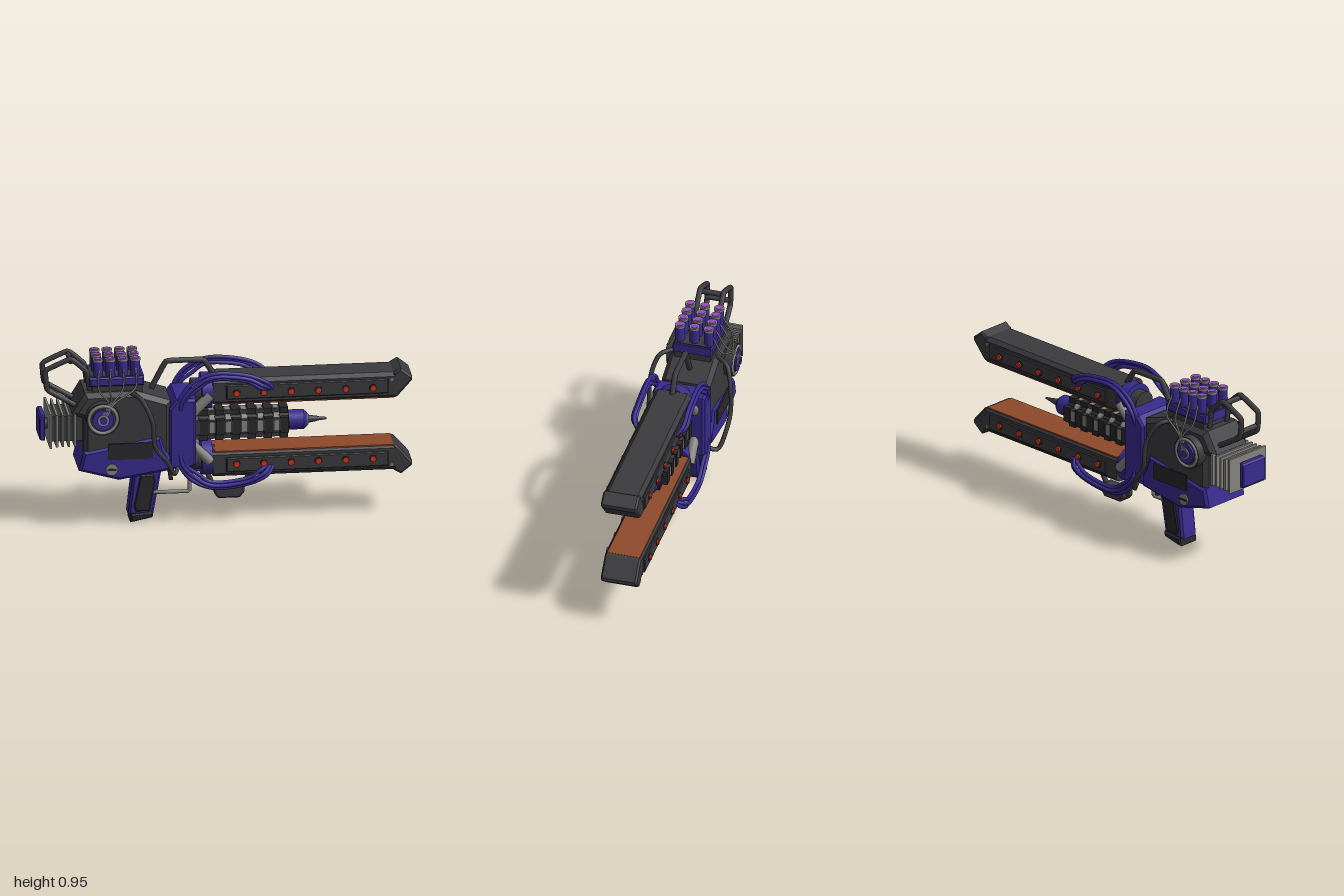
import * as THREE from 'three';

const mat = (name, color, side = THREE.FrontSide) => {
  const m = new THREE.MeshStandardMaterial({ color, side });
  m.name = name;
  return m;
};

export function createModel() {
  const root = new THREE.Group();
  root.name = 'railCannon';
  const dark = mat('dark gunmetal', 0x3b3a3e);
  const black = mat('black panel', 0x29292b);
  const grey = mat('steel grey', 0x85847f);
  const purple = mat('indigo paint', 0x392b90);
  const copper = mat('copper', 0x8f4a2b);
  const red = mat('red light', 0xd8341c);
  const violet = mat('violet glow', 0x9a45c4);
  const MID = 0.525; // height of the barrel axis

  const add = (name, geo, m, x = 0, y = 0, z = 0) => {
    const mesh = new THREE.Mesh(geo, m);
    mesh.name = name;
    mesh.position.set(x, y, z);
    root.add(mesh);
    return mesh;
  };
  const box = (name, m, x0, x1, y0, y1, z0, z1) =>
    add(name, new THREE.BoxGeometry(x1 - x0, Math.abs(y1 - y0), z1 - z0), m, (x0 + x1) / 2, (y0 + y1) / 2, (z0 + z1) / 2);
  // Side outline in x,y extruded symmetrically across z, with a bevel
  const plate = (name, m, pts, half, bevel = 0.01, z = 0) => {
    const shape = new THREE.Shape(pts.map(p => new THREE.Vector2(...p)));
    const geo = new THREE.ExtrudeGeometry(shape, {
      depth: 2 * (half - bevel), bevelEnabled: bevel > 0, bevelSize: bevel,
      bevelThickness: bevel, bevelOffset: -bevel, bevelSegments: 1,
    });
    geo.translate(0, 0, -(half - bevel));
    return add(name, geo, m, 0, 0, z);
  };
  // Cylinder along x
  const rod = (name, m, x0, x1, r0, r1, y, z = 0) => {
    const geo = new THREE.CylinderGeometry(r1, r0, x1 - x0, 24);
    geo.rotateZ(-Math.PI / 2);
    return add(name, geo, m, (x0 + x1) / 2, y, z);
  };
  // Disc facing sideways, from z0 outwards to z1 on side s
  const disc = (name, m, x, y, z0, z1, r, s, sides = 28) => {
    const geo = new THREE.CylinderGeometry(r, r, z1 - z0, sides);
    geo.rotateX(Math.PI / 2);
    return add(name, geo, m, x, y, s * (z0 + z1) / 2);
  };
  const tube = (name, m, pts, r, tension = 0.5, seg = 40) => {
    const curve = new THREE.CatmullRomCurve3(pts.map(p => new THREE.Vector3(...p)), false, 'catmullrom', tension);
    return add(name, new THREE.TubeGeometry(curve, seg, r, 8), m);
  };

  // Main body
  plate('upperBody', dark, [[-0.83, 0.645], [-0.76, 0.76], [-0.48, 0.76], [-0.3, 0.7], [-0.3, 0.35], [-0.77, 0.38], [-0.77, 0.62]], 0.135, 0.025);
  plate('lowerBody', purple, [[-0.77, 0.435], [-0.355, 0.51], [-0.335, 0.44], [-0.3, 0.38], [-0.3, 0.315], [-0.58, 0.27], [-0.795, 0.33]], 0.147, 0.015);
  plate('frontBlock', purple, [[-0.31, 0.66], [-0.27, 0.71], [-0.165, 0.71], [-0.165, 0.34], [-0.2, 0.32], [-0.31, 0.32]], 0.145, 0.012);

  for (const s of [1, -1]) {
    box('sidePanel', black, -0.64, -0.4, 0.39, 0.48, s * 0.15 - 0.004, s * 0.15 + 0.004);
    // Screw with slot
    disc('screw', grey, -0.62, 0.335, 0.14, 0.155, 0.032, s);
    box('screwSlot', black, -0.645, -0.595, 0.33, 0.34, s * 0.156 - 0.002, s * 0.156 + 0.002);
    // Side dial
    disc('dialBase', dark, -0.67, 0.63, 0.12, 0.18, 0.09, s);
    add('dialRing', new THREE.TorusGeometry(0.076, 0.009, 8, 32), grey, -0.67, 0.63, s * 0.18);
    disc('dialFace', purple, -0.67, 0.63, 0.17, 0.192, 0.058, s);
    disc('dialHub', grey, -0.67, 0.63, 0.18, 0.2, 0.032, s);
    disc('dialCentre', purple, -0.67, 0.63, 0.19, 0.206, 0.02, s);
    // Thin wires from the canisters to the dial
    [-0.68, -0.62, -0.55, -0.485].forEach((x, i) =>
      tube('wire', grey, [[x, 0.89, s * 0.1], [x - 0.01, 0.79, s * 0.15], [-0.64 + i * 0.012, 0.72, s * 0.175], [-0.685 + i * 0.01, 0.645, s * 0.195]], 0.005));
    // Side hose
    tube('sideHose', dark, [[-0.51, 0.755, s * 0.12], [-0.46, 0.73, s * 0.19], [-0.41, 0.62, s * 0.222], [-0.395, 0.48, s * 0.225],
      [-0.33, 0.39, s * 0.215], [-0.29, 0.31, s * 0.185], [-0.26, 0.33, s * 0.13]], 0.0125);
    // Rear carrying handle
    tube('rearHandle', dark, [[-0.79, 0.67, s * 0.065], [-0.955, 0.77, s * 0.065], [-0.965, 0.88, s * 0.065],
      [-0.83, 0.94, s * 0.065], [-0.745, 0.865, s * 0.065], [-0.725, 0.74, s * 0.065]], 0.015, 0.12, 60);
  }
  for (const [x, y] of [[-0.83, 0.925], [-0.958, 0.8]]) {
    const bar = add('handleCrossbar', new THREE.CylinderGeometry(0.015, 0.015, 0.13, 10), dark, x, y, 0);
    bar.rotation.x = Math.PI / 2;
  }

  // Canister rack
  box('rackFoot', dark, -0.72, -0.45, 0.75, 0.79, -0.1, 0.1);
  plate('rackTray', purple, [[-0.735, 0.79], [-0.735, 0.84], [-0.44, 0.84], [-0.44, 0.79]], 0.11, 0.008);
  box('rackTop', dark, -0.725, -0.45, 0.838, 0.845, -0.1, 0.1);
  for (const x of [-0.687, -0.62, -0.553, -0.486]) for (const z of [-0.08, 0, 0.08]) {
    add('canister', new THREE.CylinderGeometry(0.026, 0.026, 0.1, 16), purple, x, 0.885, z);
    add('canisterRim', new THREE.CylinderGeometry(0.028, 0.028, 0.012, 16), grey, x, 0.934, z);
    add('canisterGlow', new THREE.CylinderGeometry(0.019, 0.019, 0.004, 16), violet, x, 0.941, z);
  }

  // Cooling fins and end cap
  box('finCore', dark, -0.95, -0.76, 0.49, 0.63, -0.1, 0.1);
  [-0.945, -0.912, -0.88, -0.848, -0.815].forEach((x, i) => {
    const h = i === 0 ? 0.098 : 0.09;
    box('coolingFin', grey, x - 0.006, x + 0.006, 0.56 - h, 0.56 + h, -0.138, 0.138);
  });
  rod('endCapStem', dark, -0.98, -0.94, 0.03, 0.03, 0.56);
  plate('endCap', purple, [[-1, 0.5], [-1, 0.62], [-0.99, 0.63], [-0.97, 0.63], [-0.97, 0.49], [-0.99, 0.49]], 0.085, 0.005);

  // Grip, trigger and guard
  plate('grip', purple, [[-0.49, 0.3], [-0.335, 0.32], [-0.385, 0.04], [-0.52, 0.04]], 0.056, 0.012);
  plate('gripPanel', black, [[-0.455, 0.265], [-0.385, 0.265], [-0.375, 0.23], [-0.405, 0.06], [-0.48, 0.06], [-0.49, 0.09]], 0.062, 0.006);
  plate('gripFoot', black, [[-0.51, 0.0], [-0.505, 0.045], [-0.385, 0.055], [-0.39, 0.025]], 0.065, 0.008);
  plate('trigger', dark, [[-0.31, 0.33], [-0.285, 0.33], [-0.275, 0.215], [-0.295, 0.215]], 0.02, 0.004);
  tube('triggerGuard', grey, [[-0.385, 0.165, 0.05], [-0.33, 0.165, 0.058], [-0.195, 0.165, 0.058], [-0.192, 0.175, 0.058], [-0.192, 0.33, 0.058]], 0.011, 0.1);

  // Top and bottom front handles
  tube('topHandle', dark, [[-0.39, 0.735, 0], [-0.31, 0.883, 0], [-0.11, 0.883, 0], [-0.05, 0.79, 0]], 0.016, 0.1);
  tube('bottomHandle', dark, [[-0.1, 0.27, 0], [-0.045, 0.145, 0], [0.09, 0.145, 0], [0.15, 0.26, 0]], 0.014, 0.1);
  plate('bottomHandleGrip', dark, [[-0.055, 0.135], [-0.055, 0.175], [0.105, 0.175], [0.105, 0.14], [0.08, 0.11], [-0.035, 0.11]], 0.045, 0.008);

  // Upper and lower rails, mirrored about the barrel axis
  for (const v of [1, -1]) {
    const Y = d => MID + v * d;
    const profile = new THREE.Shape([[-0.1, 0.15], [-0.1, 0.255], [-0.08, 0.275], [0.08, 0.275], [0.1, 0.255], [0.1, 0.15], [0.088, 0.137], [-0.088, 0.137]]
      .map(([z, d]) => new THREE.Vector2(-z, Y(d))));
    const railGeo = new THREE.ExtrudeGeometry(profile, { depth: 0.98, bevelEnabled: false });
    railGeo.rotateY(Math.PI / 2);
    add('rail', railGeo, dark, -0.07, 0, 0);
    box('copperFace', copper, -0.06, 0.9, Y(0.132), Y(0.139), -0.09, 0.09);
    plate('railTip', dark, [[0.9, Y(0.133)], [0.9, Y(0.275)], [0.94, Y(0.298)], [1, Y(0.25)], [1, Y(0.23)], [0.92, Y(0.14)]], 0.1, 0.01);

    // Collar joining rail to front block
    rod('railAxle', dark, -0.18, -0.05, 0.065, 0.065, Y(0.19));
    rod('railCollar', purple, -0.127, -0.07, 0.098, 0.098, Y(0.187));

    for (const s of [1, -1]) {
      plate('railSidePlate', dark, [[0, Y(0.165)], [0, Y(0.245)], [0.87, Y(0.245)], [0.87, Y(0.165)]], 0.008, 0.005, s * 0.104);
      for (let i = 0; i < 6; i++) {
        const x = 0.055 + i * 0.1465;
        disc('lightSocket', black, x, Y(0.2), 0.1, 0.116, 0.021, s, 16);
        disc('railLight', red, x, Y(0.2), 0.105, 0.124, 0.016, s, 16);
      }
      disc('railBolt', grey, 0.89, Y(0.24), 0.09, 0.104, 0.009, s, 10);
      // Piston strut
      const strut = add('strut', new THREE.CylinderGeometry(0.027, 0.027, 0.15, 16), grey, -0.135, Y(0.135), s * 0.088);
      strut.rotation.z = -v * Math.PI / 4;
      // Bundle of three power cables
      for (let i = 0; i < 3; i++) {
        const o = i * 0.016, z = s * (0.136 + (i % 2) * 0.012);
        tube('powerCable', purple, [[-0.27 + o, Y(0.08), s * 0.125], [-0.255 + o, Y(0.18), z], [-0.19 + o, Y(0.27 - o)  , z], [-0.07, Y(0.322 - o), z],
          [0.1, Y(0.308 - o), z], [0.21 - o, Y(0.265 - o), z], [0.255 - o, Y(0.215), s * 0.1]], 0.011);
      }
    }
  }

  // Central barrel: core, steel rings, four segmented guide bars
  rod('barrelCore', dark, -0.18, 0.34, 0.055, 0.055, MID);
  for (let i = 0; i < 6; i++) {
    const x = -0.115 + i * 0.0865;
    if (i < 5) rod('barrelRing', grey, x + 0.03, x + 0.06, 0.066, 0.066, MID);
    rod('barrelBand', black, x - 0.025, x + 0.027, 0.062, 0.062, MID);
    for (let k = 0; k < 4; k++) {
      const a = k * Math.PI / 2;
      const pad = add('guidePad', new THREE.BoxGeometry(0.045, 0.03, 0.085), black, x, MID + 0.07 * Math.cos(a), 0.07 * Math.sin(a));
      pad.rotation.x = a;
    }
  }
  for (let k = 0; k < 4; k++) {
    const a = k * Math.PI / 2;
    const bar = add('guideBar', new THREE.BoxGeometry(0.5, 0.022, 0.07), dark, 0.09, MID + 0.068 * Math.cos(a), 0.068 * Math.sin(a));
    bar.rotation.x = a;
    // Steel inserts between the pads
    for (let i = 0; i < 5; i++) {
      const x = -0.072 + i * 0.0865;
      const insert = add('guideInsert', new THREE.BoxGeometry(0.026, 0.024, 0.06), grey, x, MID + 0.069 * Math.cos(a), 0.069 * Math.sin(a));
      insert.rotation.x = a;
    }
  }

  // Muzzle and needle
  rod('muzzle', purple, 0.34, 0.425, 0.054, 0.054, MID);
  rod('muzzleLip', purple, 0.425, 0.445, 0.054, 0.038, MID);
  rod('needleSocket', grey, 0.44, 0.452, 0.036, 0.03, MID);
  rod('needle', dark, 0.45, 0.5, 0.022, 0.014, MID);
  rod('needleTip', dark, 0.5, 0.55, 0.012, 0.006, MID);
  return root;
}
